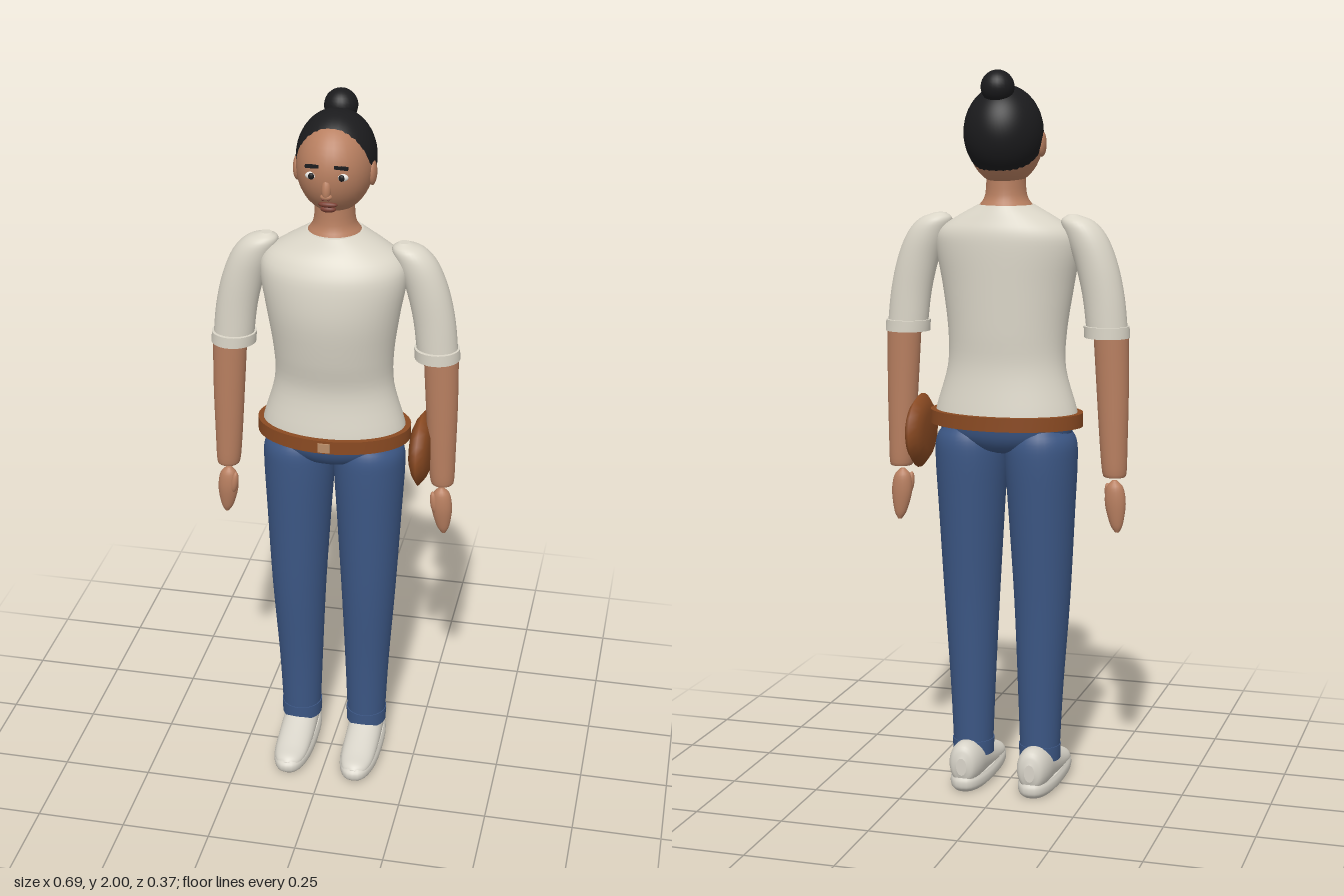
import * as THREE from 'three';

const mat = (name, color) => {
  const m = new THREE.MeshStandardMaterial({ color });
  m.name = name;
  return m;
};

// Smooth elliptical loft. Rings run upwards: [y, centreX, centreZ, radiusX, radiusZ].
// A power below 1 squares off the ellipse.
function loft(rings, { steps = 4, seg = 32, power = 1 } = {}) {
  const path = new THREE.CatmullRomCurve3(rings.map(r => new THREE.Vector3(r[0], r[1], r[2])), false, 'catmullrom');
  const size = new THREE.CatmullRomCurve3(rings.map(r => new THREE.Vector3(r[3], r[4], 0)), false, 'catmullrom');
  const pos = [], idx = [], n = (rings.length - 1) * steps;
  const bend = v => Math.sign(v) * Math.pow(Math.abs(v), power);
  const ring = t => {
    const c = path.getPoint(t), s = size.getPoint(t);
    for (let j = 0; j < seg; j++) {
      const a = j / seg * Math.PI * 2;
      pos.push(c.y + s.x * bend(Math.cos(a)), c.x, c.z + s.y * bend(Math.sin(a)));
    }
    return c;
  };
  for (let i = 0; i <= n; i++) ring(i / n);
  for (let i = 0; i < n; i++) for (let j = 0; j < seg; j++) {
    const a = i * seg + j, b = i * seg + (j + 1) % seg;
    idx.push(a, a + seg, b, b, a + seg, b + seg);
  }
  for (const t of [0, 1]) {
    const base = pos.length / 3, c = ring(t);
    pos.push(c.y, c.x, c.z);
    for (let j = 0; j < seg; j++) {
      const a = base + j, b = base + (j + 1) % seg;
      idx.push(base + seg, ...(t ? [b, a] : [a, b]));
    }
  }
  const g = new THREE.BufferGeometry();
  g.setAttribute('position', new THREE.Float32BufferAttribute(pos, 3));
  g.setIndex(idx);
  g.computeVertexNormals();
  return g;
}

const ball = (rx, ry, rz, seg = 24) => new THREE.SphereGeometry(1, seg, Math.ceil(seg * 0.7)).scale(rx, ry, rz);

export function createModel() {
  const skin = mat('skin', 0xb87f60), cloth = mat('shirt cream', 0xdbd6c8), denim = mat('denim', 0x3c5785);
  const black = mat('hair black', 0x1b1b1d), leather = mat('leather', 0x8a4a22), lip = mat('lip', 0x7a3f32);
  const white = mat('eye white', 0xeeeae4), metal = mat('buckle', 0xb98d68), shoeMat = mat('shoe cream', 0xd8d4c9);

  const model = new THREE.Group();
  model.name = 'standingWoman';
  const add = (name, geo, material, x = 0, y = 0, z = 0, parent = model) => {
    const m = new THREE.Mesh(geo, material);
    m.name = name;
    m.position.set(x, y, z);
    parent.add(m);
    return m;
  };

  // Head, neck and hair
  add('head', ball(0.102, 0.127, 0.12, 32), skin, 0, 1.82, -0.05);
  add('neck', loft([
    [1.59, 0, -0.045, 0.095, 0.085], [1.635, 0, -0.045, 0.076, 0.076],
    [1.67, 0, -0.045, 0.056, 0.061], [1.75, 0, -0.045, 0.052, 0.058],
  ]), skin);
  const cap = new THREE.SphereGeometry(1, 36, 24, 0, Math.PI * 2, 0, 1.98).rotateX(-0.8).scale(0.107, 0.127, 0.115);
  const hairMat = black;
  hairMat.side = THREE.DoubleSide;
  add('hair', cap, hairMat, 0, 1.835, -0.068);
  add('hairBun', ball(0.045, 0.045, 0.045), black, 0, 1.955, -0.124);

  // Face
  add('nose', ball(0.013, 0.03, 0.014, 16), skin, 0, 1.79, 0.063).rotation.x = -0.2;
  add('noseTip', ball(0.016, 0.009, 0.011, 16), skin, 0, 1.769, 0.066);
  add('upperLip', ball(0.026, 0.008, 0.01, 16), lip, 0, 1.741, 0.045);
  add('lowerLip', ball(0.021, 0.009, 0.011, 16), lip, 0, 1.727, 0.041);
  for (const s of [1, -1]) {
    add('eye', ball(0.016, 0.01, 0.008, 16), white, s * 0.041, 1.822, 0.058);
    add('pupil', ball(0.008, 0.009, 0.005, 16), black, s * 0.04, 1.822, 0.064);
    add('brow', new THREE.BoxGeometry(0.036, 0.008, 0.009), black, s * 0.038, 1.848, 0.061).rotation.z = -s * 0.05;
    add('ear', ball(0.012, 0.035, 0.023, 16), skin, s * 0.1, 1.805, -0.046);
    add('nostril', ball(0.004, 0.003, 0.004, 8), lip, s * 0.007, 1.764, 0.073);
  }

  // Shirt
  add('shirtBody', loft([
    [1.05, 0, -0.042, 0.203, 0.13], [1.09, 0, -0.041, 0.197, 0.125], [1.2, 0, -0.04, 0.166, 0.11],
    [1.3, 0, -0.032, 0.166, 0.121], [1.42, 0, -0.025, 0.183, 0.131], [1.52, 0, -0.029, 0.2, 0.129],
    [1.57, 0, -0.037, 0.19, 0.118], [1.605, 0, -0.043, 0.143, 0.1], [1.642, 0, -0.045, 0.076, 0.083],
  ], { seg: 48 }), cloth);

  // Belt and buckle
  add('belt', loft([[1.04, 0, -0.042, 0.215, 0.143], [1.078, 0, -0.042, 0.215, 0.143]], { steps: 1, seg: 48 }), leather);
  add('buckle', new THREE.BoxGeometry(0.034, 0.026, 0.008), metal, 0, 1.058, 0.1015);

  // Jeans seat
  add('jeansSeat', loft([
    [0.965, 0, -0.042, 0.07, 0.05], [0.98, 0, -0.042, 0.13, 0.088],
    [1.01, 0, -0.042, 0.178, 0.11], [1.05, 0, -0.042, 0.19, 0.12],
  ]), denim);

  // Pouch hanging on the left hip
  const pouchProfile = [[0, -0.028], [0.06, -0.028], [0.088, -0.018], [0.114, 0], [0.088, 0.018], [0.06, 0.028], [0, 0.028]];
  const pouch = new THREE.LatheGeometry(pouchProfile.map(p => new THREE.Vector2(...p)), 24)
    .rotateZ(-Math.PI / 2).scale(1, 0.91, 1);
  add('hipPouch', pouch, leather, 0.247, 1.01, -0.045);

  // Limbs, built for the left side and repeated for the right
  for (const s of [1, -1]) {
    const side = s > 0 ? 'left' : 'right';
    const mirror = rings => rings.map(([y, x, z, rx, rz]) => [y, s * x, z, rx, rz]);
    const part = (name, rings, m, opts) => add(side + name, loft(mirror(rings), opts), m);

    part('Sleeve', [
      [1.295, 0.285, -0.045, 0.056, 0.05], [1.4, 0.273, -0.045, 0.057, 0.05], [1.49, 0.252, -0.045, 0.058, 0.051],
      [1.56, 0.224, -0.045, 0.057, 0.05], [1.6, 0.2, -0.045, 0.045, 0.041], [1.617, 0.187, -0.045, 0.015, 0.015],
    ], cloth);
    part('SleeveCuff', [[1.29, 0.284, -0.045, 0.062, 0.061], [1.321, 0.282, -0.045, 0.062, 0.061]], cloth, { steps: 1 });
    part('Forearm', [
      [0.907, 0.308, -0.043, 0.024, 0.024], [0.918, 0.307, -0.043, 0.033, 0.033], [1.0, 0.304, -0.043, 0.038, 0.036],
      [1.15, 0.3, -0.043, 0.044, 0.039], [1.31, 0.294, -0.044, 0.048, 0.042],
    ], skin);
    part('Hand', [
      [0.752, 0.315, -0.04, 0.006, 0.006], [0.775, 0.313, -0.039, 0.018, 0.015], [0.83, 0.309, -0.037, 0.029, 0.023],
      [0.875, 0.307, -0.037, 0.024, 0.02], [0.896, 0.306, -0.037, 0.007, 0.007],
    ], skin, { seg: 20 });
    add(side + 'Thumb', ball(0.011, 0.034, 0.012, 16), skin, s * 0.288, 0.852, -0.026).rotation.z = s * 0.15;

    part('JeansLeg', [
      [0.09, 0.098, -0.042, 0.055, 0.056], [0.3, 0.099, -0.04, 0.064, 0.066], [0.55, 0.102, -0.036, 0.078, 0.083],
      [0.8, 0.101, -0.04, 0.092, 0.099], [0.94, 0.1, -0.043, 0.1, 0.107], [1.0, 0.1, -0.043, 0.097, 0.105],
      [1.035, 0.1, -0.043, 0.075, 0.09],
    ], denim);
    part('JeansCuff', [[0.088, 0.098, -0.042, 0.058, 0.06], [0.13, 0.098, -0.042, 0.059, 0.061]], denim, { steps: 1 });

    // Shoe: sole from stacked ovals, upper lofted from heel to toe
    part('ShoeSole', [
      [0, 0.099, 0.01, 0.046, 0.155], [0.012, 0.099, 0.01, 0.056, 0.168],
      [0.03, 0.099, 0.01, 0.057, 0.17], [0.043, 0.099, 0.008, 0.051, 0.162],
    ], shoeMat, { power: 0.8 });
    part('ShoeUpper', [
      [-0.157, 0.099, -0.075, 0.015, 0.025], [-0.145, 0.099, -0.077, 0.036, 0.053], [-0.11, 0.099, -0.076, 0.048, 0.063],
      [-0.05, 0.099, -0.069, 0.05, 0.057], [0.03, 0.099, -0.052, 0.051, 0.041], [0.11, 0.099, -0.038, 0.047, 0.028],
      [0.155, 0.099, -0.034, 0.034, 0.021], [0.172, 0.099, -0.032, 0.012, 0.01],
    ], shoeMat).rotation.x = Math.PI / 2;
  }
  return model;
}
